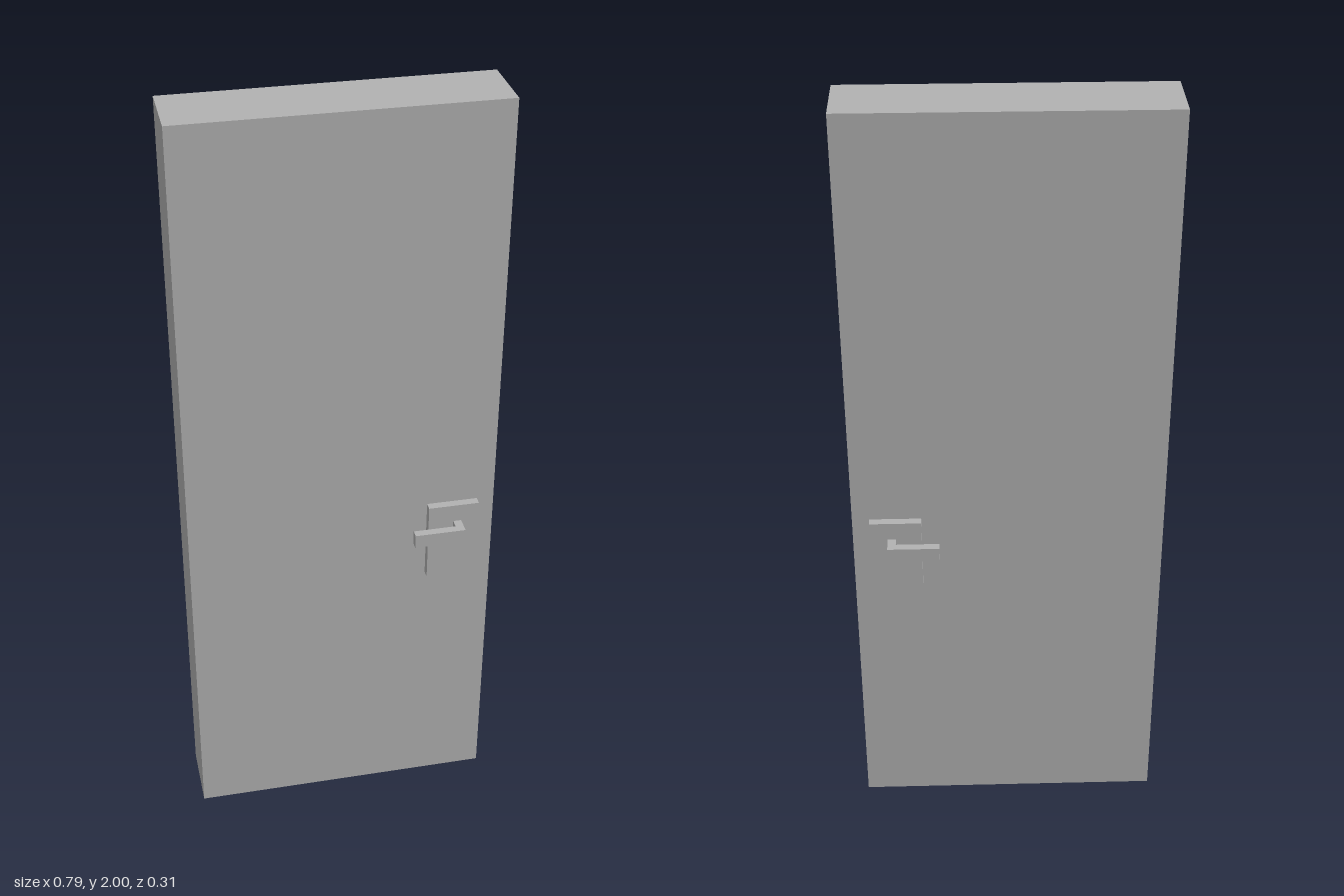
import * as THREE from 'three';

export function createModel() {
  const model = new THREE.Group();
  model.name = 'door';
  const grey = new THREE.MeshStandardMaterial({ color: 0xb2b2b2 });
  grey.name = 'plain grey';

  // Box given by its lower and upper limits on each axis
  function addBox(parent, name, [x0, x1], [y0, y1], [z0, z1]) {
    const mesh = new THREE.Mesh(new THREE.BoxGeometry(x1 - x0, y1 - y0, z1 - z0), grey);
    mesh.position.set((x0 + x1) / 2, (y0 + y1) / 2, (z0 + z1) / 2);
    mesh.name = name;
    parent.add(mesh);
  }

  // Door slab
  const face = 0.0875;
  addBox(model, 'doorSlab', [-0.395, 0.395], [0, 2], [-face, face]);

  // Lever handle: one L-shaped outline seen from above, extruded upwards
  const outline = [
    [0.306, 0.109], [0.306, 0.153], [0.175, 0.153],
    [0.175, 0.132], [0.285, 0.132], [0.285, 0.109],
  ];

  // Backplate and lever on each face of the door
  for (const side of [1, -1]) {
    const handle = new THREE.Group();
    handle.name = side > 0 ? 'frontHandle' : 'backHandle';
    const depths = [side * face, side * 0.109].sort((a, b) => a - b);
    addBox(handle, 'backplate', [0.22, 0.351], [0.708, 0.926], depths);

    const shape = new THREE.Shape(outline.map(([x, z]) => new THREE.Vector2(x, -side * z)));
    const geometry = new THREE.ExtrudeGeometry(shape, { depth: 0.037, bevelEnabled: false });
    geometry.rotateX(-Math.PI / 2);
    const lever = new THREE.Mesh(geometry, grey);
    lever.position.y = 0.841;
    lever.name = 'lever';
    handle.add(lever);
    model.add(handle);
  }
  return model;
}
